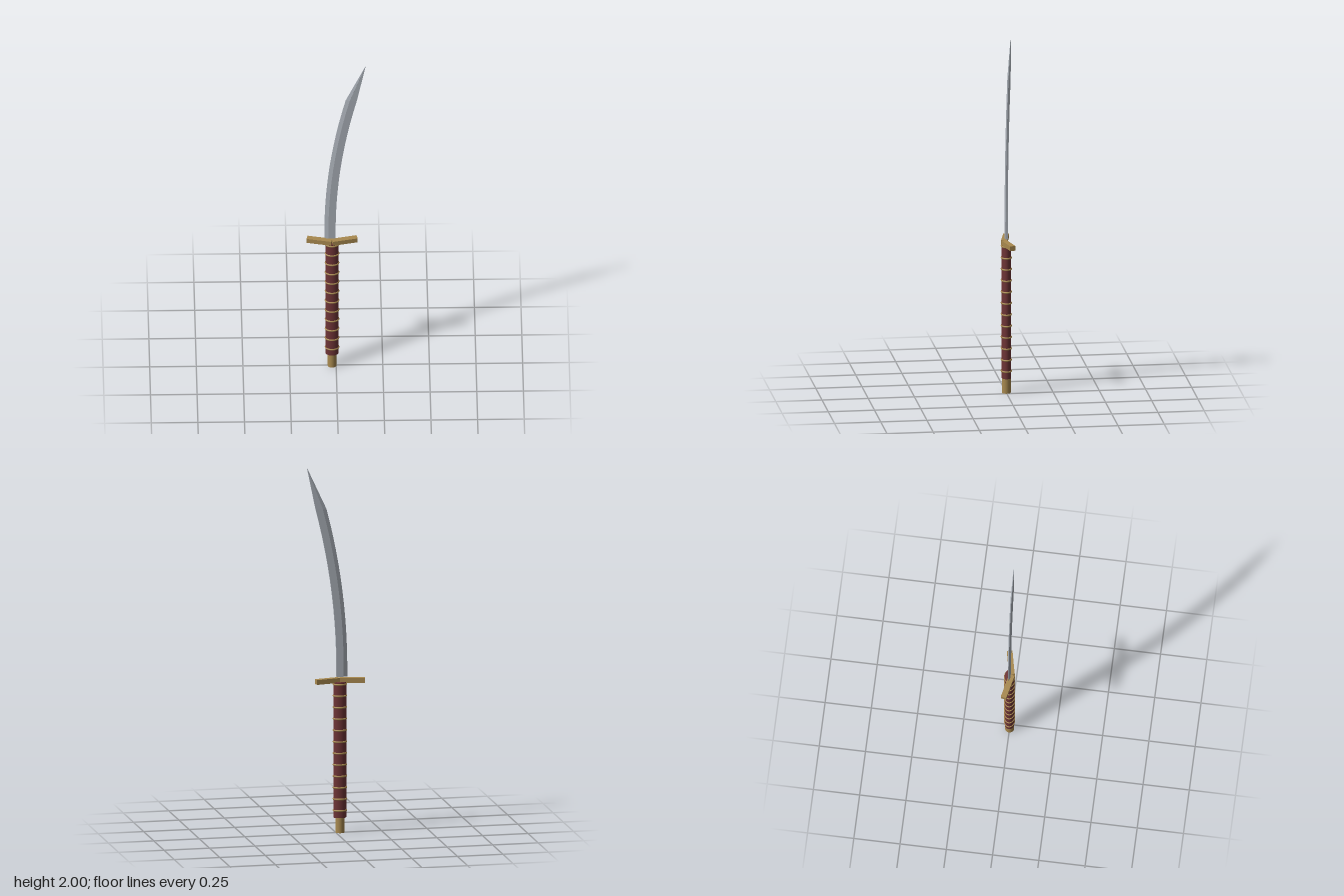
import * as THREE from 'three';

const material = (color) => new THREE.MeshStandardMaterial({ color });
const AXIS_X = -0.022; // grip axis

// Blade: loft of a five-sided section (sharp edge, two ridges, flat spine)
function bladeGeometry() {
  const stations = [];
  const y0 = 0.853, y1 = 1.775, steps = 12;
  for (let i = 0; i <= steps; i++) {
    const y = y0 + (y1 - y0) * i / steps;
    const left = -0.063 + 0.149 * Math.max(0, y - 0.9) ** 2;
    stations.push([y, left, left + 0.06, 0.007]);
  }
  stations.push([2, 0.156, 0.158, 0.002]);
  const sections = stations.map(([y, l, r, t]) => {
    const ridge = l + (r - l) * 0.36;
    return [[l, y, 0], [ridge, y, t], [r, y, t * 0.8], [r, y, -t * 0.8], [ridge, y, -t]];
  });
  const pos = [];
  const tri = (a, b, c) => pos.push(...a, ...b, ...c);
  for (let i = 0; i < sections.length - 1; i++) {
    const a = sections[i], b = sections[i + 1];
    for (let j = 0; j < 5; j++) {
      const k = (j + 1) % 5;
      tri(a[j], a[k], b[k]);
      tri(a[j], b[k], b[j]);
    }
  }
  const first = sections[0], last = sections[sections.length - 1];
  for (let j = 1; j < 4; j++) {
    tri(first[0], first[j + 1], first[j]);
    tri(last[0], last[j], last[j + 1]);
  }
  const g = new THREE.BufferGeometry();
  g.setAttribute('position', new THREE.Float32BufferAttribute(pos, 3));
  g.computeVertexNormals();
  return g;
}

export function createModel() {
  const model = new THREE.Group();
  const gold = material(0xa8894f), red = material(0x6e3436), steel = material(0xaab0b8);
  const add = (name, geometry, mat, x, y, z) => {
    const mesh = new THREE.Mesh(geometry, mat);
    mesh.name = name;
    mesh.position.set(x, y, z);
    model.add(mesh);
    return mesh;
  };

  add('blade', bladeGeometry(), steel, 0, 0, 0);

  // Oval grip with evenly spaced binding rings
  const grip = new THREE.CylinderGeometry(0.035, 0.035, 0.742, 32).scale(1, 1, 0.75);
  add('grip', grip, red, AXIS_X, 0.454, 0);
  const ring = new THREE.TorusGeometry(0.0345, 0.005, 8, 32).rotateX(Math.PI / 2).scale(1, 1, 0.76);
  for (let i = 0; i < 12; i++) add('gripRing', ring, gold, AXIS_X, 0.122 + i * 0.0628, 0);

  // Round pommel
  add('pommel', new THREE.CylinderGeometry(0.024, 0.024, 0.09, 32), gold, AXIS_X, 0.045, 0);

  // Two swept-back guard arms, leaving a small notch at the front
  const arm = new THREE.BoxGeometry(0.136, 0.026, 0.03);
  for (const side of [-1, 1]) {
    add('guardArm', arm, gold, AXIS_X + side * 0.068, 0.833, -0.002).rotation.y = side * 0.215;
  }
  return model;
}
